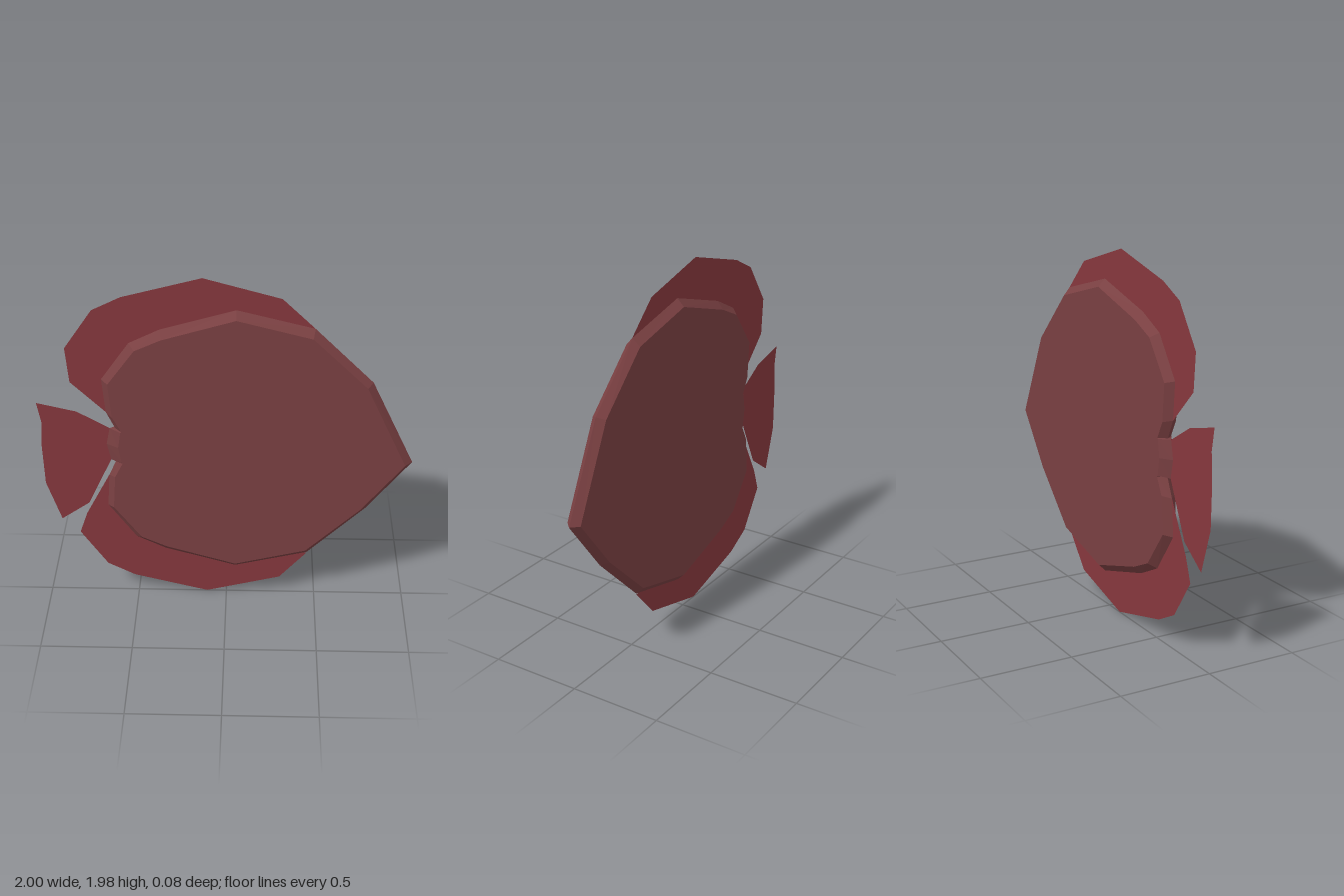
import * as THREE from 'three';

const HALF_THICKNESS = 0.04;
const MID_Y = 1;

const bodyMaterial = new THREE.MeshStandardMaterial({ color: 0x7a4042 });
const finMaterial = new THREE.MeshStandardMaterial({ color: 0x86383d, side: THREE.DoubleSide });

// Upper half of the body from nose to tail: [rim x, rim y, face x, face y]
const upperHalf = [
  [0.76, 1.40, 0.73, 1.385],
  [0.45, 1.71, 0.44, 1.67],
  [0.05, 1.81, 0.05, 1.77],
  [-0.34, 1.695, -0.33, 1.655],
  [-0.50, 1.615, -0.47, 1.59],
  [-0.65, 1.40, -0.615, 1.39],
  [-0.635, 1.20, -0.60, 1.19],
  [-0.59, 1.10, -0.555, 1.10],
  [-0.62, 1.10, -0.56, 1.095],
];

// Bevelled slab: sharp rim at z = 0, flat faces at +-HALF_THICKNESS
function createBody() {
  const mirrorY = ([x, y, fx, fy]) => [x, 2 * MID_Y - y, fx, 2 * MID_Y - fy];
  const outline = [
    [0.995, 0.91, 0.955, 0.91],
    ...upperHalf,
    [-0.64, 1.0, -0.575, 1.0],
    ...upperHalf.map(mirrorY).reverse(),
  ];
  const n = outline.length;
  const positions = [];
  const corner = {
    rim: (i) => [outline[i % n][0], outline[i % n][1], 0],
    front: (i) => [outline[i % n][2], outline[i % n][3], HALF_THICKNESS],
    back: (i) => [outline[i % n][2], outline[i % n][3], -HALF_THICKNESS],
  };
  const triangle = (a, b, c) => positions.push(...a, ...b, ...c);

  // Bevels
  for (let i = 0; i < n; i++) {
    const { rim, front, back } = corner;
    triangle(rim(i), rim(i + 1), front(i + 1));
    triangle(rim(i), front(i + 1), front(i));
    triangle(rim(i + 1), rim(i), back(i));
    triangle(rim(i + 1), back(i), back(i + 1));
  }

  // Side faces
  const facePoints = outline.map(([, , x, y]) => new THREE.Vector2(x, y));
  for (const [a, b, c] of THREE.ShapeUtils.triangulateShape(facePoints, [])) {
    triangle(corner.front(a), corner.front(b), corner.front(c));
    triangle(corner.back(c), corner.back(b), corner.back(a));
  }

  const geometry = new THREE.BufferGeometry();
  geometry.setAttribute('position', new THREE.Float32BufferAttribute(positions, 3));
  geometry.computeVertexNormals();
  const body = new THREE.Mesh(geometry, bodyMaterial);
  body.name = 'body';
  return body;
}

// Paper-thin fin in the middle plane
function createFin(name, points) {
  const shape = new THREE.Shape(points.map(([x, y]) => new THREE.Vector2(x, y)));
  const fin = new THREE.Mesh(new THREE.ShapeGeometry(shape), finMaterial);
  fin.name = name;
  return fin;
}

export function createModel() {
  const model = new THREE.Group();
  model.name = 'fish';
  model.add(createBody());

  // The last points of each fin are tucked inside the body
  model.add(createFin('topFin', [
    [0.45, 1.71], [0.28, 1.875], [-0.12, 1.985], [-0.53, 1.875], [-0.68, 1.80],
    [-0.83, 1.58], [-0.815, 1.38], [-0.635, 1.20],
    [-0.56, 1.30], [-0.40, 1.55], [0.05, 1.72],
  ]));
  model.add(createFin('bottomFin', [
    [0.45, 0.285], [0.30, 0.11], [-0.11, 0.003], [-0.52, 0.11], [-0.67, 0.19],
    [-0.815, 0.41], [-0.77, 0.54], [-0.635, 0.80], [-0.59, 0.89],
    [-0.54, 0.80], [-0.56, 0.65], [-0.40, 0.45], [0.05, 0.28],
  ]));
  model.add(createFin('tailFin', [
    [-0.62, 1.10], [-0.79, 1.20], [-1.0, 1.25], [-0.98, 1.13], [-0.99, 0.98],
    [-0.985, 0.74], [-0.91, 0.50], [-0.755, 0.61], [-0.62, 0.90], [-0.58, 1.0],
  ]));
  return model;
}
